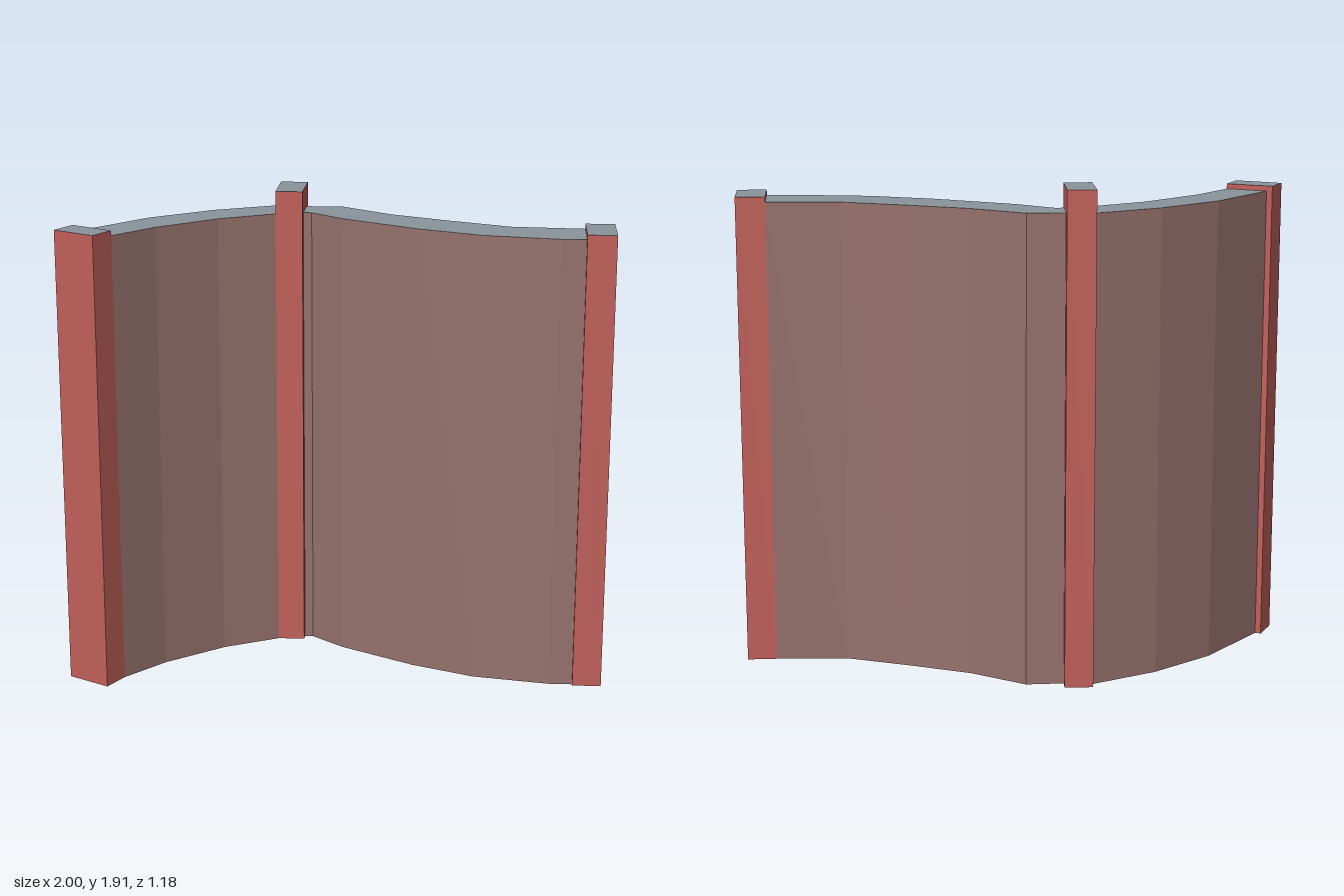
import * as THREE from 'three';

const postMat = new THREE.MeshStandardMaterial({ color: 0xc0605a });
const wallMat = new THREE.MeshStandardMaterial({ color: 0x95716c });
const topMat = new THREE.MeshStandardMaterial({ color: 0x8b959b });

// Upright prism over a plan outline of [x, z] corners
function prism(name, plan, height, sideMat) {
  const shape = new THREE.Shape(plan.map(([x, z]) => new THREE.Vector2(x, -z)));
  const geo = new THREE.ExtrudeGeometry(shape, { depth: height, bevelEnabled: false });
  geo.rotateX(-Math.PI / 2);
  // Split the caps so that the top gets its own colour
  const [caps, sides] = geo.groups.map((g) => ({ ...g }));
  geo.clearGroups();
  geo.addGroup(0, caps.count / 2, 0);
  geo.addGroup(caps.count / 2, caps.count / 2, 1);
  geo.addGroup(sides.start, sides.count, 2);
  const mesh = new THREE.Mesh(geo, [wallMat, topMat, sideMat]);
  mesh.name = name;
  return mesh;
}

// Wall between a back edge line and a front edge line, both running left to right in plan
const wall = (name, back, front) => prism(name, [...back, ...front.slice().reverse()], 1.82, wallMat);

export function createModel() {
  const model = new THREE.Group();
  model.name = 'curvedWall';

  // Posts
  model.add(
    prism('rightPost', [[-1, -0.39], [-0.905, -0.45], [-0.805, -0.29], [-0.9, -0.23]], 1.84, postMat),
    prism('middlePost', [[0.03, -0.595], [0.125, -0.54], [0.02, -0.36], [-0.075, -0.41]], 1.91, postMat),
    prism('leftPost', [[0.9, 0.35], [1, 0.405], [0.9, 0.59], [0.8, 0.535]], 1.84, postMat),
  );

  // Gently bowed wall
  model.add(wall('rightWall',
    [[-0.893, -0.43], [-0.56, -0.55], [-0.27, -0.585], [0.015, -0.565]],
    [[-0.805, -0.29], [-0.6, -0.365], [-0.32, -0.415], [-0.073, -0.41]]));

  // Wall sweeping forward
  model.add(wall('leftWall',
    [[0.1, -0.5], [0.23, -0.43], [0.34, -0.21], [0.49, -0.01], [0.66, 0.2], [0.9, 0.35]],
    [[0.035, -0.385], [0.065, -0.37], [0.13, -0.21], [0.31, 0.08], [0.48, 0.29], [0.72, 0.48], [0.805, 0.525]]));

  return model;
}
